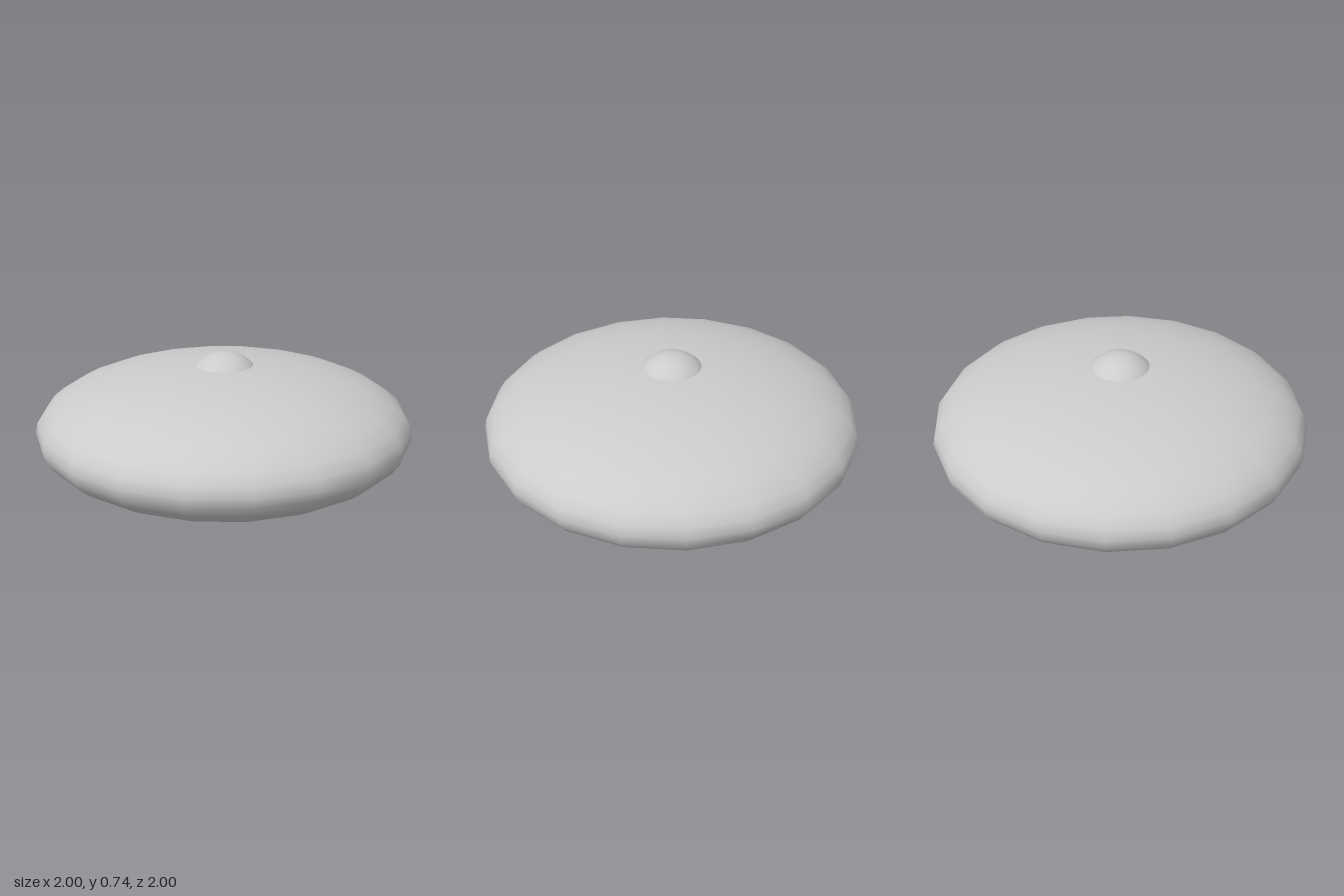
import * as THREE from 'three';

export function createModel() {
  const group = new THREE.Group();
  const material = new THREE.MeshStandardMaterial({ color: 0xcccccc });

  // Flattened 20-sided lens-shaped hull
  const halfHeight = 0.338;
  const hull = new THREE.Mesh(new THREE.SphereGeometry(1, 20, 20), material);
  hull.name = 'hull';
  hull.scale.y = halfHeight;
  hull.position.y = halfHeight;
  group.add(hull);

  // Small round dome, its lower edge sunk into the hull
  const radius = 0.21;
  const dome = new THREE.Mesh(
    new THREE.SphereGeometry(radius, 48, 16, 0, Math.PI * 2, 0, Math.PI / 2),
    material
  );
  dome.name = 'dome';
  dome.position.y = 0.74 - radius;
  group.add(dome);

  return group;
}
